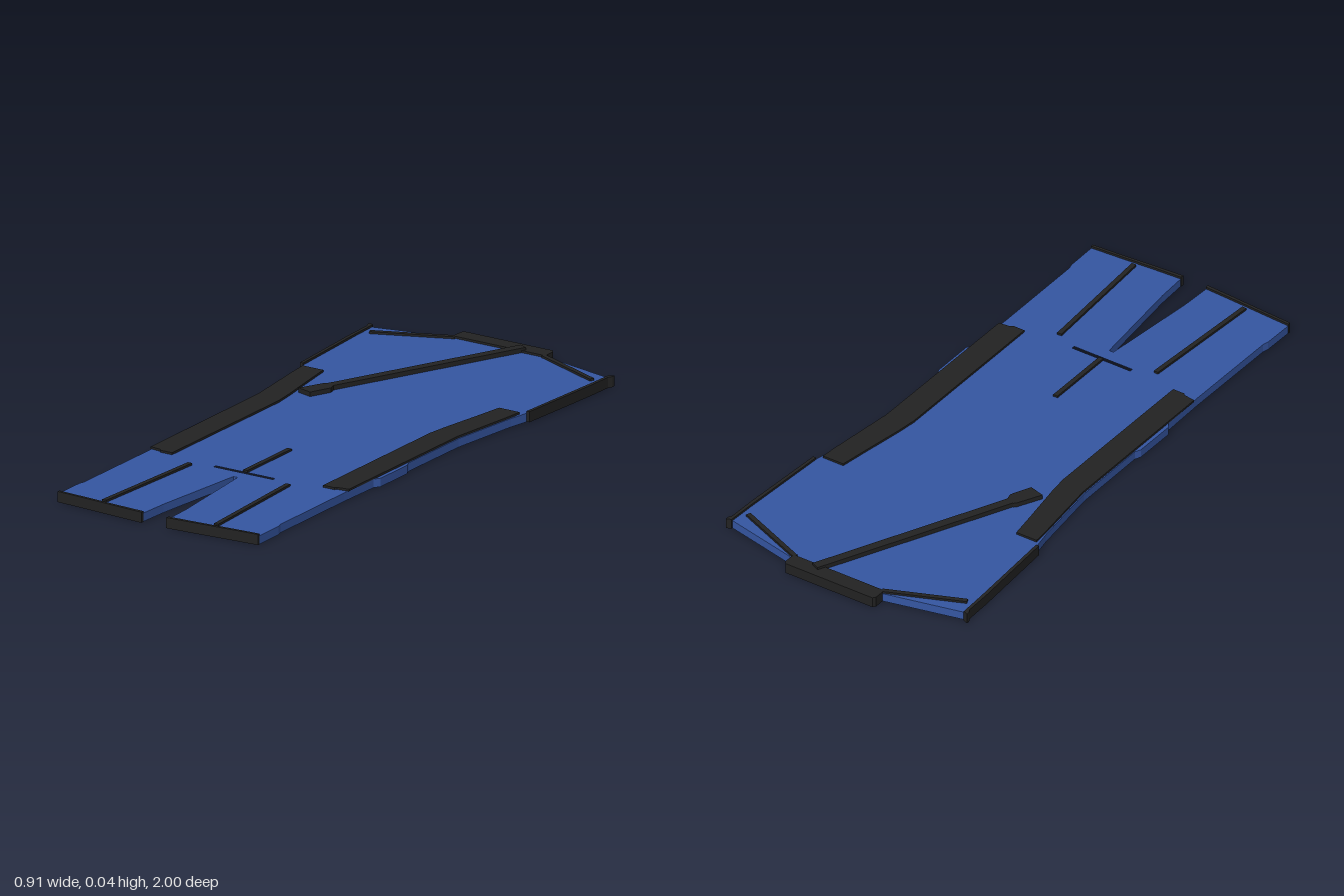
import * as THREE from 'three';

const blue = new THREE.MeshStandardMaterial({ color: 0x3556a2 });
blue.name = 'blue fabric';
const black = new THREE.MeshStandardMaterial({ color: 0x222222 });
black.name = 'black trim';

const TOP = 0.028;   // top of the fabric slab
const TRIM = 0.035;  // top of the flat trim
const ZIP = 0.043;   // top of the raised zip

// Points are [x, z] on the ground plane; the extrusion is turned to rise along y.
const toVec = ([x, z]) => new THREE.Vector2(x, -z);
const mirror = (pts) => pts.map(([x, z]) => [-x, z]).reverse();

function slab(name, pts, y0, y1, material, holes = []) {
  const shape = new THREE.Shape(pts.map(toVec));
  holes.forEach((h) => shape.holes.push(new THREE.Path(h.map(toVec))));
  const geo = new THREE.ExtrudeGeometry(shape, { depth: y1 - y0, bevelEnabled: false });
  geo.rotateX(-Math.PI / 2).translate(0, y0, 0);
  const mesh = new THREE.Mesh(geo, material);
  mesh.name = name;
  return mesh;
}

// Rectangle of the given width running from a to b
function strip(a, b, width) {
  const dx = b[0] - a[0], dz = b[1] - a[1];
  const k = width / 2 / Math.hypot(dx, dz);
  const nx = -dz * k, nz = dx * k;
  return [[a[0] + nx, a[1] + nz], [b[0] + nx, b[1] + nz], [b[0] - nx, b[1] - nz], [a[0] - nx, a[1] - nz]];
}

export function createModel() {
  const group = new THREE.Group();
  group.name = 'sleevelessSuit';

  // Body: left half from the neck down to the crotch, then mirrored
  const half = [
    [0.17, -0.955], [0.44, -0.893], [0.437, -0.80], [0.418, -0.47], [0.405, -0.40],
    [0.376, -0.15], [0.374, 0.13], [0.383, 0.15], [0.383, 0.30], [0.37, 0.32],
    [0.366, 0.48], [0.367, 0.84], [0.372, 0.86], [0.373, 0.968], [0.29, 0.973],
    [0.14, 0.983], [0.048, 0.988], [0.043, 0.88], [0.008, 0.54],
  ];
  const crotchSlit = [[-0.11, 0.485], [0.11, 0.485], [0.11, 0.496], [-0.11, 0.496]];
  group.add(slab('body', [...half, ...mirror(half)], 0, TOP, blue, [crotchSlit]));

  // Collar
  group.add(slab('collar', [
    [-0.165, -1], [0.165, -1], [0.172, -0.99], [0.172, -0.955], [0.165, -0.945],
    [-0.165, -0.945], [-0.172, -0.955], [-0.172, -0.99],
  ], 0, TRIM, black));

  // Paired trim: [name, outline, base height]
  const paired = [
    ['sidePanel', [
      [0.328, -0.45], [0.405, -0.45], [0.40, -0.39], [0.372, -0.15], [0.37, 0.46],
      [0.33, 0.465], [0.325, 0.472], [0.282, 0.472], [0.282, -0.13], [0.29, -0.2], [0.315, -0.36],
    ], TOP],
    ['armholePiping', [
      [0.44, -0.898], [0.457, -0.905], [0.457, -0.893], [0.45, -0.88], [0.447, -0.78],
      [0.428, -0.47], [0.417, -0.47], [0.436, -0.80],
    ], 0],
    ['shoulderPiping', strip([0.165, -0.947], [0.415, -0.842], 0.016), TOP],
    ['legCrease', strip([0.183, 0.52], [0.209, 0.965], 0.016), TOP],
    ['legHem', [
      [0.374, 0.968], [0.374, 0.978], [0.29, 0.983], [0.14, 0.994], [0.046, 1],
      [0.047, 0.988], [0.14, 0.983], [0.29, 0.973],
    ], 0],
  ];
  for (const [name, pts, base] of paired) {
    group.add(slab(name + 'Left', pts, base, TRIM, black));
    group.add(slab(name + 'Right', mirror(pts), base, TRIM, black));
  }

  // Fly seam
  group.add(slab('flySeam', strip([0, 0.235], [0, 0.485], 0.016), TOP, TRIM, black));

  // Diagonal zip with its pull tab
  group.add(slab('zip', strip([0.077, -0.965], [-0.222, -0.325], 0.03), TOP, ZIP, black));
  group.add(slab('zipPull', [
    [-0.236, -0.335], [-0.205, -0.32], [-0.2, -0.30], [-0.232, -0.23],
    [-0.285, -0.245], [-0.245, -0.325],
  ], TOP, ZIP, black));

  return group;
}
